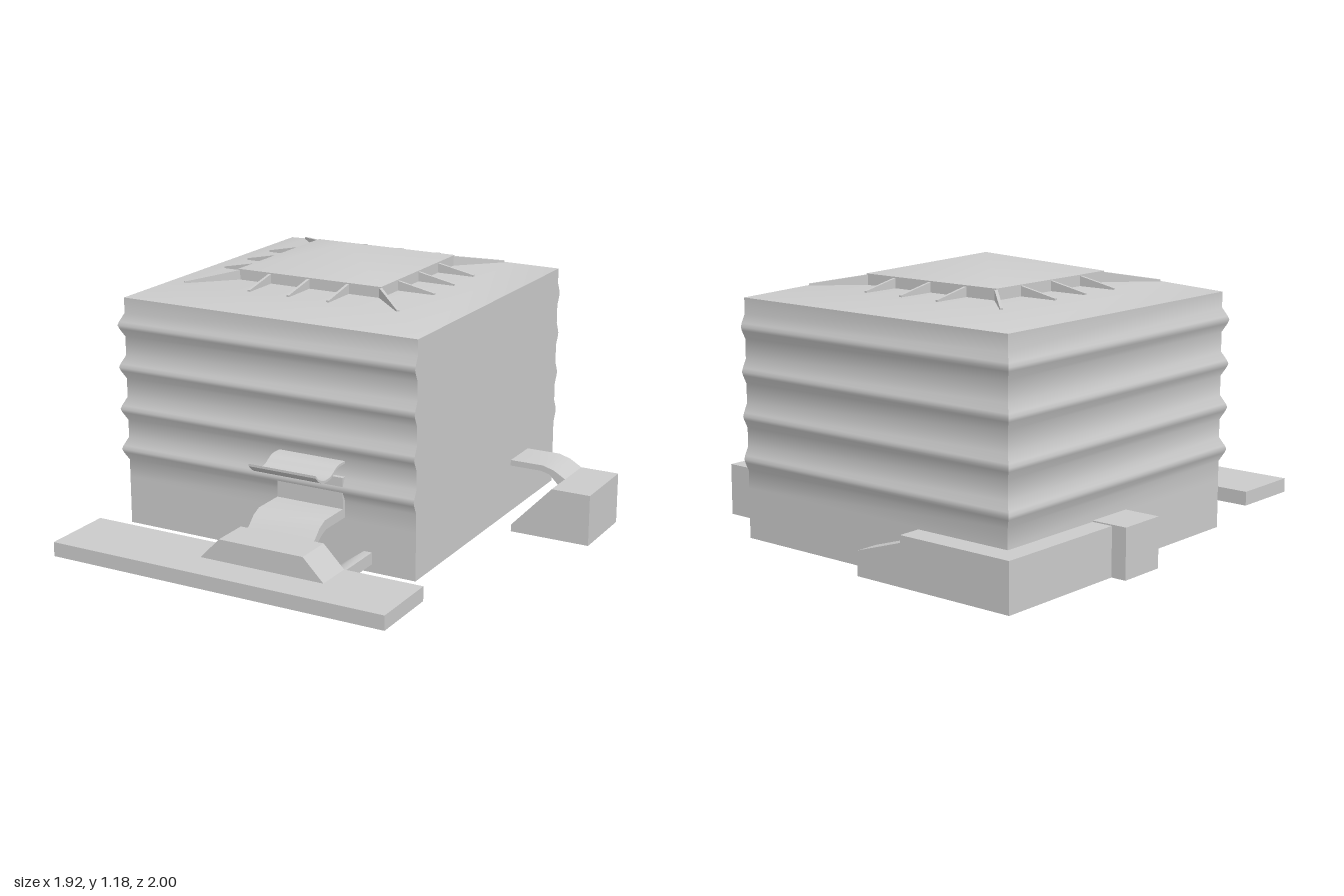
import * as THREE from 'three';
import { toCreasedNormals } from 'three/addons/utils/BufferGeometryUtils.js';

const CX = -0.135, CZ = -0.225; // middle of the main housing
const material = new THREE.MeshStandardMaterial({ color: 0xcccccc, side: THREE.DoubleSide });

export function createModel() {
  const model = new THREE.Group();

  const add = (name, geometry) => {
    const mesh = new THREE.Mesh(geometry, material);
    mesh.name = name;
    model.add(mesh);
    return mesh;
  };

  const box = (name, x0, x1, y0, y1, z0, z1) => {
    const g = new THREE.BoxGeometry(x1 - x0, y1 - y0, z1 - z0);
    return add(name, g.translate((x0 + x1) / 2, (y0 + y1) / 2, (z0 + z1) / 2));
  };

  // Outline of [x, y] points extruded from z0 to z1
  const prismZ = (name, points, z0, z1) => {
    const shape = new THREE.Shape(points.map(([x, y]) => new THREE.Vector2(x, y)));
    const g = new THREE.ExtrudeGeometry(shape, { depth: z1 - z0, bevelEnabled: false });
    return add(name, toCreasedNormals(g.translate(0, 0, z0), 0.7));
  };

  // Outline of [z, y] points extruded from x0 to x1
  const prismX = (name, points, x0, x1) => {
    const shape = new THREE.Shape(points.map(([z, y]) => new THREE.Vector2(-z, y)));
    const g = new THREE.ExtrudeGeometry(shape, { depth: x1 - x0, bevelEnabled: false });
    return add(name, toCreasedNormals(g.rotateY(Math.PI / 2).translate(x0, 0, 0), 0.7));
  };

  // Skin over rectangular rings [x0, x1, z0, z1, y], listed from bottom to top
  const loft = (name, rings, crease) => {
    const corners = rings.map(([x0, x1, z0, z1, y]) => [[x0, y, z1], [x1, y, z1], [x1, y, z0], [x0, y, z0]]);
    const pos = [];
    for (let i = 0; i < corners.length - 1; i++) {
      for (let j = 0; j < 4; j++) {
        const k = (j + 1) % 4;
        const a = corners[i][j], b = corners[i][k], c = corners[i + 1][k], d = corners[i + 1][j];
        pos.push(...a, ...b, ...c, ...a, ...c, ...d);
      }
    }
    const g = new THREE.BufferGeometry();
    g.setAttribute('position', new THREE.Float32BufferAttribute(pos, 3));
    return add(name, toCreasedNormals(g, crease));
  };
  const square = (r, y) => [CX - r, CX + r, CZ - r, CZ + r, y];

  // Housing: ribs on front, back and left side, plain right side, sloped eaves
  const half = 0.675;
  const wall = (d, y) => [CX - half - d, CX + half, CZ - half - d, CZ + half + d, y];
  const rings = [square(0, 0.03), wall(0, 0.03), wall(0, 0.235)];
  for (const y of [0.36, 0.535, 0.715, 0.895]) {
    rings.push(wall(0, y - 0.05), wall(0.017, y - 0.015), wall(0.022, y), wall(0.017, y + 0.015), wall(0, y + 0.05));
  }
  rings.push(wall(0, 1.01), square(0.5, 1.055), square(0, 1.055));
  loft('housing', rings, 0.9);

  // Roof cap with a low pyramid
  loft('roofCap', [square(0.335, 1.05), square(0.335, 1.1), square(0, 1.18)], 0.6);

  // Vanes around the roof cap, three per side and one per corner
  const vane = (angle, inner, outer, offset) => {
    const shape = new THREE.Shape([
      new THREE.Vector2(inner, 1.05), new THREE.Vector2(outer, 1.05),
      new THREE.Vector2(outer, 1.062), new THREE.Vector2(inner, 1.096),
    ]);
    const g = new THREE.ExtrudeGeometry(shape, { depth: 0.012, bevelEnabled: false });
    g.translate(0, 0, offset - 0.006).rotateY(angle).translate(CX, 0, CZ);
    add('roofVane', g);
  };
  for (let side = 0; side < 4; side++) {
    const angle = side * Math.PI / 2;
    for (const offset of [-0.183, 0, 0.183]) vane(angle, 0.33, 0.498, offset);
    vane(angle + Math.PI / 4, 0.33 * Math.SQRT2, 0.495 * Math.SQRT2, 0);
  }

  // Front hatch: wavy awning above a short chute
  const wave = new THREE.CatmullRomCurve3(
    [[0.44, 0.47], [0.51, 0.467], [0.56, 0.442], [0.61, 0.438], [0.65, 0.452], [0.68, 0.478]]
      .map(([z, y]) => new THREE.Vector3(z, y, 0))).getPoints(18);
  prismX('frontAwning', [
    ...wave.map((p) => [p.x, p.y + 0.005]),
    ...wave.slice().reverse().map((p) => [p.x, p.y - 0.005]),
  ], -0.075, 0.225);
  box('frontHatch', -0.075, 0.225, 0.24, 0.41, 0.44, 0.468);
  prismX('frontChute', [
    [0.44, 0.28], [0.61, 0.28], [0.65, 0.262], [0.7, 0.215],
    [0.7, 0.18], [0.64, 0.225], [0.6, 0.24], [0.44, 0.24],
  ], -0.075, 0.225);

  // Long front tray with a raised middle
  box('frontTray', -0.795, 0.695, 0.07, 0.13, 0.69, 1.0);
  prismZ('trayHump', [[-0.2, 0.125], [0.36, 0.125], [0.265, 0.22], [-0.11, 0.22]], 0.69, 0.85);

  // Bent brackets behind the tray, mirrored about the hatch
  for (const s of [-1, 1]) {
    const points = [[0.285, 0.13], [0.25, 0.13], [0.12, 0.035], [0.115, 0.02], [0.2, 0.02], [0.285, 0.08]];
    prismZ('trayBracket', points.map(([x, y]) => [0.08 + s * x, y]), 0.485, 0.69);
  }

  // Side bin with a sloped inner face, fed by a curved arm
  prismZ('sideBin', [[0.61, 0], [0.96, 0], [0.96, 0.22], [0.79, 0.22], [0.61, 0.03]], -0.62, -0.3);
  prismZ('sideArm', [
    [0.53, 0.265], [0.69, 0.265], [0.74, 0.25], [0.8, 0.215],
    [0.76, 0.19], [0.72, 0.23], [0.68, 0.24], [0.53, 0.24],
  ], -0.62, -0.44);

  // Low duct wrapping the back left corner, tapering along the back
  prismZ('backDuct', [
    [-0.9, 0.03], [-0.16, 0.03], [-0.16, 0.13], [-0.38, 0.2], [-0.38, 0.23], [-0.9, 0.23],
  ], -1.0, -0.88);
  box('leftDuct', -0.9, -0.79, 0.03, 0.23, -0.9, -0.39);
  box('leftDuctEnd', -0.965, -0.79, 0.03, 0.235, -0.4, -0.19);

  return model;
}
